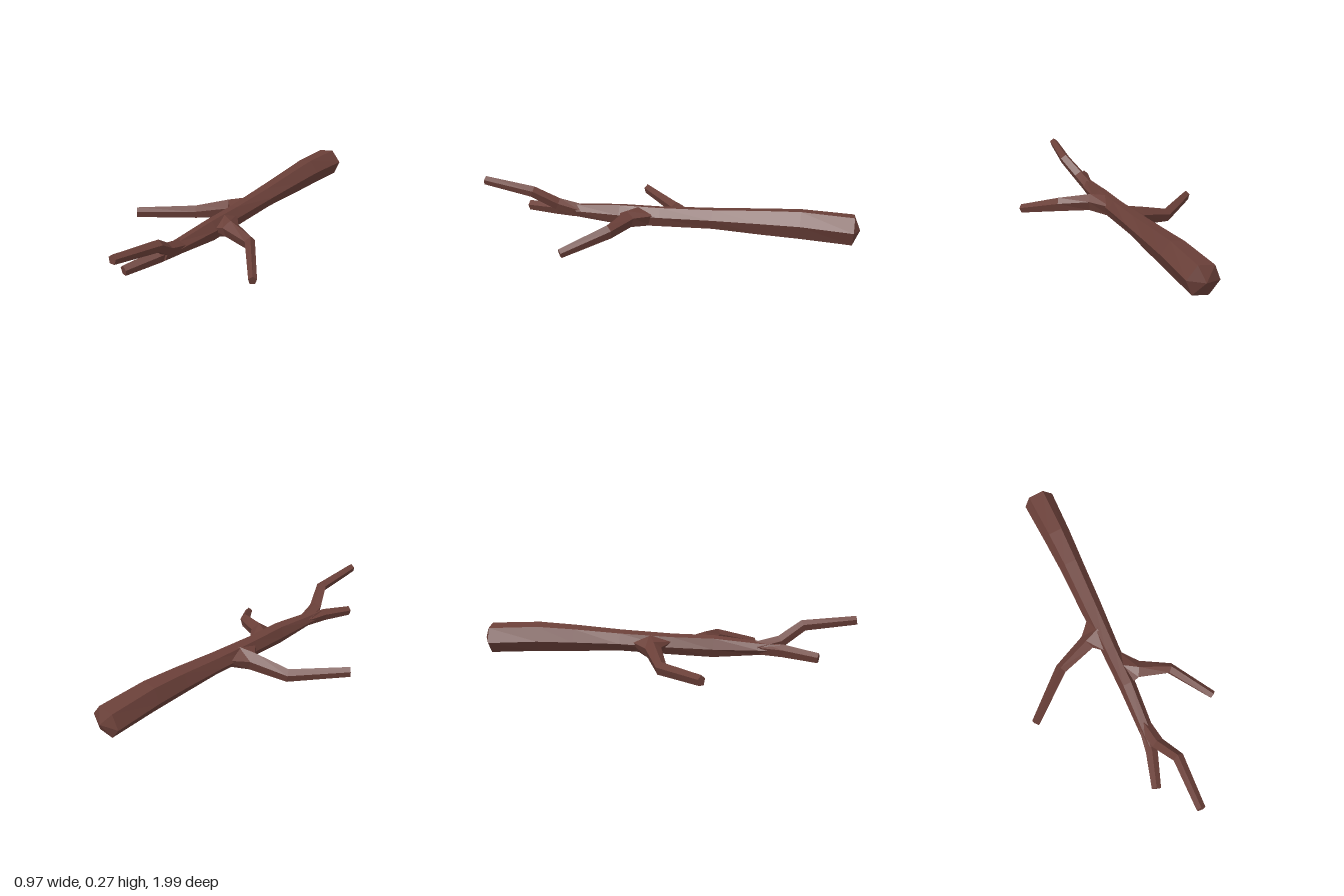
import * as THREE from 'three';

const UP = new THREE.Vector3(0, 1, 0);

// Faceted limb lofted through rings [x, y, z, halfWidth, halfHeight]; startDir fixes the first ring's heading.
function limb(name, rings, sides, phase, material, { startDir, startTip = 0 } = {}) {
  const centres = rings.map(r => new THREE.Vector3(r[0], r[1], r[2]));
  const last = rings.length - 1;
  const loops = rings.map((r, i) => {
    const dir = i === 0 && startDir
      ? new THREE.Vector3(...startDir)
      : new THREE.Vector3();
    if (dir.lengthSq() === 0) {
      if (i > 0) dir.add(centres[i].clone().sub(centres[i - 1]).normalize());
      if (i < last) dir.add(centres[i + 1].clone().sub(centres[i]).normalize());
    }
    dir.normalize();
    const side = UP.clone().cross(dir).normalize();
    const over = dir.clone().cross(side);
    return Array.from({ length: sides }, (_, j) => {
      const a = phase + (j / sides) * Math.PI * 2;
      return centres[i].clone()
        .addScaledVector(side, Math.cos(a) * r[3] * 1.04)
        .addScaledVector(over, Math.sin(a) * r[4] * 1.1);
    });
  });
  const pos = [];
  const tri = (...pts) => pts.forEach(p => pos.push(p.x, p.y, p.z));
  const tip = centres[0].clone();
  tip.z -= startTip;
  for (let j = 0; j < sides; j++) {
    const k = (j + 1) % sides;
    for (let i = 0; i < last; i++) {
      const a = loops[i][j], b = loops[i][k], c = loops[i + 1][k], d = loops[i + 1][j];
      tri(a, b, c);
      tri(a, c, d);
    }
    tri(tip, loops[0][k], loops[0][j]);
    tri(centres[last], loops[last][j], loops[last][k]);
  }
  const geo = new THREE.BufferGeometry();
  geo.setAttribute('position', new THREE.Float32BufferAttribute(pos, 3));
  geo.computeVertexNormals();
  const mesh = new THREE.Mesh(geo, material);
  mesh.name = name;
  return mesh;
}

export function createModel() {
  const group = new THREE.Group();
  group.name = 'fallenBranch';
  const bark = new THREE.MeshStandardMaterial({ color: 0x6b4039, flatShading: true });
  bark.name = 'brown bark';

  // Main stem, thick at the back with a blunt pointed end
  group.add(limb('mainStem', [
    [-0.035, 0.113, -0.965, 0.082, 0.074],
    [-0.012, 0.125, -0.70, 0.072, 0.074],
    [0.003, 0.122, -0.50, 0.063, 0.066],
    [0.018, 0.118, -0.25, 0.057, 0.052],
    [0.035, 0.105, 0.03, 0.046, 0.052],
    [0.05, 0.1, 0.25, 0.043, 0.055],
    [0.055, 0.1, 0.50, 0.036, 0.033],
    [0.055, 0.1, 0.60, 0.03, 0.03],
  ], 6, 0.15, bark, { startTip: 0.035 }));

  // Side branches flare where they leave the stem
  group.add(limb('leftBranch', [
    [0.055, 0.1, 0.145, 0.11, 0.05],
    [0.135, 0.11, 0.187, 0.046, 0.042],
    [0.295, 0.097, 0.234, 0.027, 0.036],
    [0.467, 0.028, 0.43, 0.021, 0.023],
  ], 5, Math.PI / 2, bark, { startDir: [1, 0, 0] }));
  group.add(limb('rightBranch', [
    [0.005, 0.11, -0.09, 0.125, 0.045],
    [-0.065, 0.09, -0.057, 0.044, 0.046],
    [-0.247, 0.046, 0.022, 0.031, 0.033],
    [-0.467, 0.062, 0.26, 0.022, 0.026],
  ], 5, Math.PI / 2, bark, { startDir: [-1, 0, 0] }));

  // Forked front end: one raised twig, one low twig
  group.add(limb('raisedTwig', [
    [0.055, 0.1, 0.48, 0.036, 0.033],
    [0.08, 0.135, 0.60, 0.034, 0.03],
    [0.138, 0.213, 0.715, 0.029, 0.028],
    [0.14, 0.252, 0.99, 0.023, 0.022],
  ], 5, Math.PI / 2, bark));
  group.add(limb('lowTwig', [
    [0.055, 0.098, 0.50, 0.035, 0.032],
    [0.04, 0.093, 0.62, 0.031, 0.032],
    [-0.004, 0.075, 0.80, 0.024, 0.025],
  ], 5, Math.PI / 2, bark));

  return group;
}
